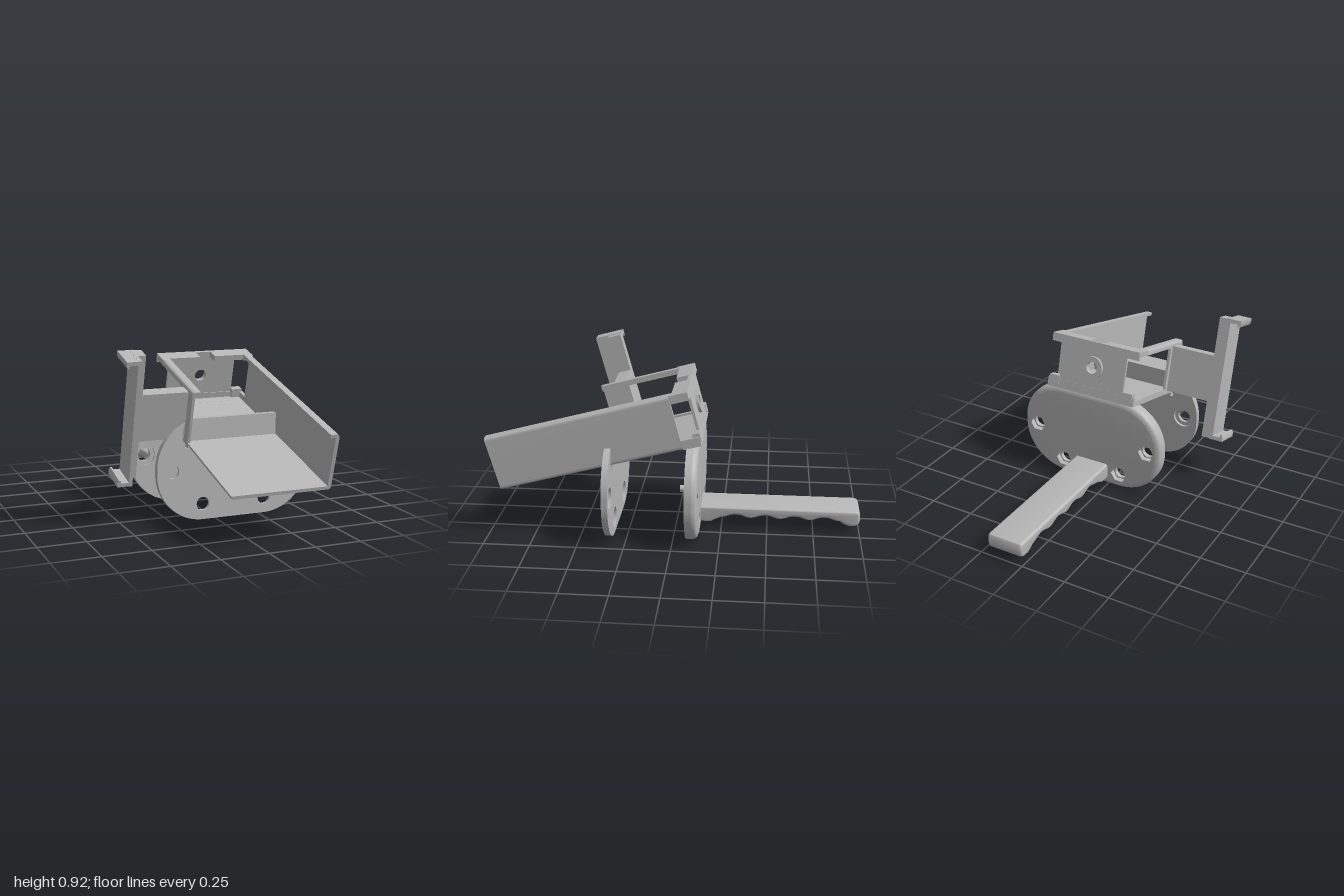
import * as THREE from 'three';
import { toCreasedNormals } from 'three/addons/utils/BufferGeometryUtils.js';

const grey = new THREE.MeshStandardMaterial({ color: 0xb6b6b6 });
grey.name = 'grey plastic';

function add(parent, name, geometry) {
  const mesh = new THREE.Mesh(toCreasedNormals(geometry, 0.6), grey);
  mesh.name = name;
  parent.add(mesh);
  return mesh;
}

function box(parent, name, x0, x1, y0, y1, z0, z1) {
  const g = new THREE.BoxGeometry(x1 - x0, y1 - y0, z1 - z0);
  g.translate((x0 + x1) / 2, (y0 + y1) / 2, (z0 + z1) / 2);
  return add(parent, name, g);
}

function slab(shape, z0, z1, steps = 1) {
  const g = new THREE.ExtrudeGeometry(shape, { depth: z1 - z0, steps, bevelEnabled: false, curveSegments: 20 });
  return g.translate(0, 0, z0);
}

const polygon = (pts) => new THREE.Shape(pts.map(([x, y]) => new THREE.Vector2(x, y)));

function roundHole(x, y, r, sides = 28) {
  const p = [];
  for (let i = 0; i < sides; i++) {
    const a = -(i / sides) * Math.PI * 2;
    p.push(new THREE.Vector2(x + r * Math.cos(a), y + r * Math.sin(a)));
  }
  return new THREE.Path(p);
}

// Plate outline: rounded rectangle given by its four corner centres
const XL = -0.07, XR = 0.285, YB = 0.255, YT = 0.288, R = 0.255;
const HOLES = [[-0.24, 0.27], [-0.07, 0.085], [0.285, 0.085], [0.455, 0.27]];

function plateShape(notched, holeRadius, sides) {
  const s = new THREE.Shape();
  s.moveTo(XL, 0);
  s.lineTo(XR, 0);
  s.absarc(XR, YB, R, -Math.PI / 2, 0, false);
  if (notched) {
    // clearance beside the channel walls
    const a = 1.16;
    s.absarc(XR, YT, R, 0, a, false);
    s.quadraticCurveTo(0.41, 0.45, 0.372, 0.39);
    s.lineTo(0.36, 0.39);
    s.lineTo(0.36, 0.543);
    s.lineTo(-0.155, 0.543);
    s.lineTo(-0.155, 0.39);
    s.lineTo(-0.167, 0.39);
    s.quadraticCurveTo(-0.2, 0.45, XL - R * Math.cos(a), YT + R * Math.sin(a));
    s.absarc(XL, YT, R, Math.PI - a, Math.PI, false);
  } else {
    s.absarc(XR, YT, R, 0, Math.PI / 2, false);
    s.absarc(XL, YT, R, Math.PI / 2, Math.PI, false);
  }
  s.absarc(XL, YB, R, Math.PI, Math.PI * 1.5, false);
  for (const [x, y] of HOLES) s.holes.push(roundHole(x, y, holeRadius, sides));
  return s;
}

// Pull the rim in toward the back to round the outer edge
function roundRim(g, z0, z1, radius) {
  const p = g.attributes.position;
  for (let i = 0; i < p.count; i++) {
    const x = p.getX(i), y = p.getY(i);
    const cx = THREE.MathUtils.clamp(x, XL, XR), cy = THREE.MathUtils.clamp(y, YB, YT);
    if (Math.hypot(x - cx, y - cy) < R - 0.004) continue;
    const t = (z1 - p.getZ(i)) / (z1 - z0);
    const k = 1 - radius * (1 - Math.sqrt(Math.max(0, 1 - t * t))) / R;
    p.setXY(i, cx + (x - cx) * k, cy + (y - cy) * k);
  }
  return g;
}

export function createModel() {
  const model = new THREE.Group();
  model.name = 'handheld holder';

  // Front plate, with wider recesses on its back
  const front = new THREE.Group();
  front.name = 'frontPlate';
  model.add(front);
  add(front, 'frontPlateFace', slab(plateShape(true, 0.036, 28), 0.337, 0.355));
  add(front, 'frontPlateRecesses', slab(plateShape(true, 0.058, 28), 0.322, 0.337));

  // Back plate: recesses in front, hexagonal pockets and rounded rim behind
  const back = new THREE.Group();
  back.name = 'backPlate';
  model.add(back);
  add(back, 'backPlateRecesses', slab(plateShape(false, 0.058, 28), -0.085, -0.073));
  add(back, 'backPlateCore', slab(plateShape(false, 0.036, 28), -0.108, -0.085));
  add(back, 'backPlatePockets', roundRim(slab(plateShape(false, 0.048, 6), -0.138, -0.108, 5), -0.138, -0.108, 0.03));
  const pin = new THREE.CylinderGeometry(0.02, 0.02, 0.07, 24);
  add(back, 'pin', pin.rotateX(Math.PI / 2).translate(0.107, 0.19, -0.052));

  // Handle with finger grooves
  const h = [[0.12, 0.13], [0.12, 0.04], [0.195, 0.04], [0.215, 0.052]];
  for (let i = 0; i <= 32; i++) {
    const t = i / 32;
    h.push([0.25 + 0.64 * t, 0.078 - 0.01 * Math.cos(t * Math.PI * 8)]);
  }
  h.push([0.92, 0.05], [0.94, 0.043], [0.975, 0.043], [0.992, 0.052], [1, 0.07], [1, 0.11], [0.992, 0.124], [0.975, 0.13]);
  const grip = new THREE.ExtrudeGeometry(polygon(h), {
    depth: 0.175, bevelThickness: 0.015, bevelSize: 0.012, bevelOffset: -0.012, bevelSegments: 4,
  });
  add(model, 'handle', grip.rotateY(Math.PI / 2).translate(0.015, 0, 0));

  // Tilted channel: local z runs forward along the floor
  const channel = new THREE.Group();
  channel.name = 'channel';
  channel.position.set(0, 0.545, -0.152);
  channel.rotation.x = THREE.MathUtils.degToRad(15);
  model.add(channel);

  // Floor, left wall and its inward lip
  const c = new THREE.Shape();
  c.moveTo(-0.165, 0.018);
  c.lineTo(-0.165, 0.012);
  c.quadraticCurveTo(-0.165, 0, -0.153, 0);
  c.lineTo(0.35, 0);
  c.quadraticCurveTo(0.37, 0, 0.37, 0.02);
  c.lineTo(0.37, 0.28);
  c.quadraticCurveTo(0.37, 0.3, 0.35, 0.3);
  c.lineTo(0.32, 0.3);
  c.lineTo(0.32, 0.282);
  c.lineTo(0.35, 0.282);
  c.lineTo(0.35, 0.018);
  add(channel, 'floorAndLeftWall', slab(c, 0.1, 1.11));

  // Right side: low curb, top rail and thin panel that carries the arm
  box(channel, 'rightCurb', -0.165, -0.145, 0, 0.03, 0, 0.39);
  box(channel, 'rightPanel', -0.165, -0.15, 0, 0.285, 0.39, 0.54);
  const rail = new THREE.Shape();
  rail.moveTo(-0.12, 0.3);
  rail.lineTo(-0.147, 0.3);
  rail.quadraticCurveTo(-0.165, 0.3, -0.165, 0.282);
  rail.lineTo(-0.165, 0.27);
  rail.lineTo(-0.12, 0.27);
  add(channel, 'rightRail', slab(rail, 0.08, 0.54));

  // Back end: floor, bands, side curb, notched top lip
  box(channel, 'backFloor', -0.165, 0.37, 0, 0.018, 0, 0.1);
  box(channel, 'backLowerBand', -0.165, 0.37, 0, 0.05, 0, 0.02);
  box(channel, 'backUpperBand', -0.165, 0.37, 0.255, 0.298, 0, 0.015);
  box(channel, 'leftCurb', 0.35, 0.37, 0, 0.05, 0, 0.1);
  box(channel, 'leftHeader', 0.35, 0.37, 0.255, 0.29, 0, 0.1);
  const lip = polygon([[-0.165, 0], [0.37, 0], [0.37, 0.1], [0.32, 0.1], [0.32, 0.085], [0.145, 0.085],
    [0.145, 0.018], [0.058, 0.018], [0.058, 0.085], [-0.12, 0.085], [-0.12, 0.1], [-0.165, 0.1]]);
  add(channel, 'topLip', slab(lip, 0, 0.03).rotateX(Math.PI / 2).translate(0, 0.3, 0));
  for (const [x0, x1] of [[-0.155, -0.095], [0.3, 0.36]]) {
    box(channel, 'cornerLedge', x0, x1, 0.018, 0.068, -0.004, 0.035);
  }

  // Back panel with a bored boss
  const panel = polygon([[-0.095, 0], [0.3, 0], [0.3, 0.29], [-0.095, 0.29]]);
  panel.holes.push(roundHole(0.102, 0.16, 0.033));
  add(channel, 'backPanel', slab(panel, 0.001, 0.016));
  const boss = new THREE.Shape().absarc(0.102, 0.16, 0.062, 0, Math.PI * 2, false);
  boss.holes.push(roundHole(0.102, 0.16, 0.033));
  add(channel, 'backBoss', slab(boss, -0.014, 0.003));

  // Side arm with rounded long edges
  const arm = new THREE.ExtrudeGeometry(polygon([[-0.485, 0.02], [-0.415, 0.02], [-0.415, 0.28], [-0.485, 0.28]]), {
    depth: 0.27, bevelEnabled: false,
  });
  add(channel, 'sideArm', arm.rotateY(Math.PI / 2).translate(-0.425, 0, 0));

  // Mounting bar, flange and hooked clips
  box(channel, 'mountBar', -0.465, -0.415, -0.185, 0.497, 0.415, 0.492);
  box(channel, 'mountFlange', -0.48, -0.46, -0.188, 0.5, 0.415, 0.57);
  const hook = [[-0.47, 0.499], [-0.54, 0.499], [-0.54, 0.477], [-0.533, 0.462], [-0.524, 0.462], [-0.522, 0.478], [-0.47, 0.478]];
  add(channel, 'upperClip', slab(polygon(hook), 0.415, 0.57));
  add(channel, 'lowerClip', slab(polygon(hook.map(([x, y]) => [x, 0.312 - y])), 0.415, 0.57));

  return model;
}
